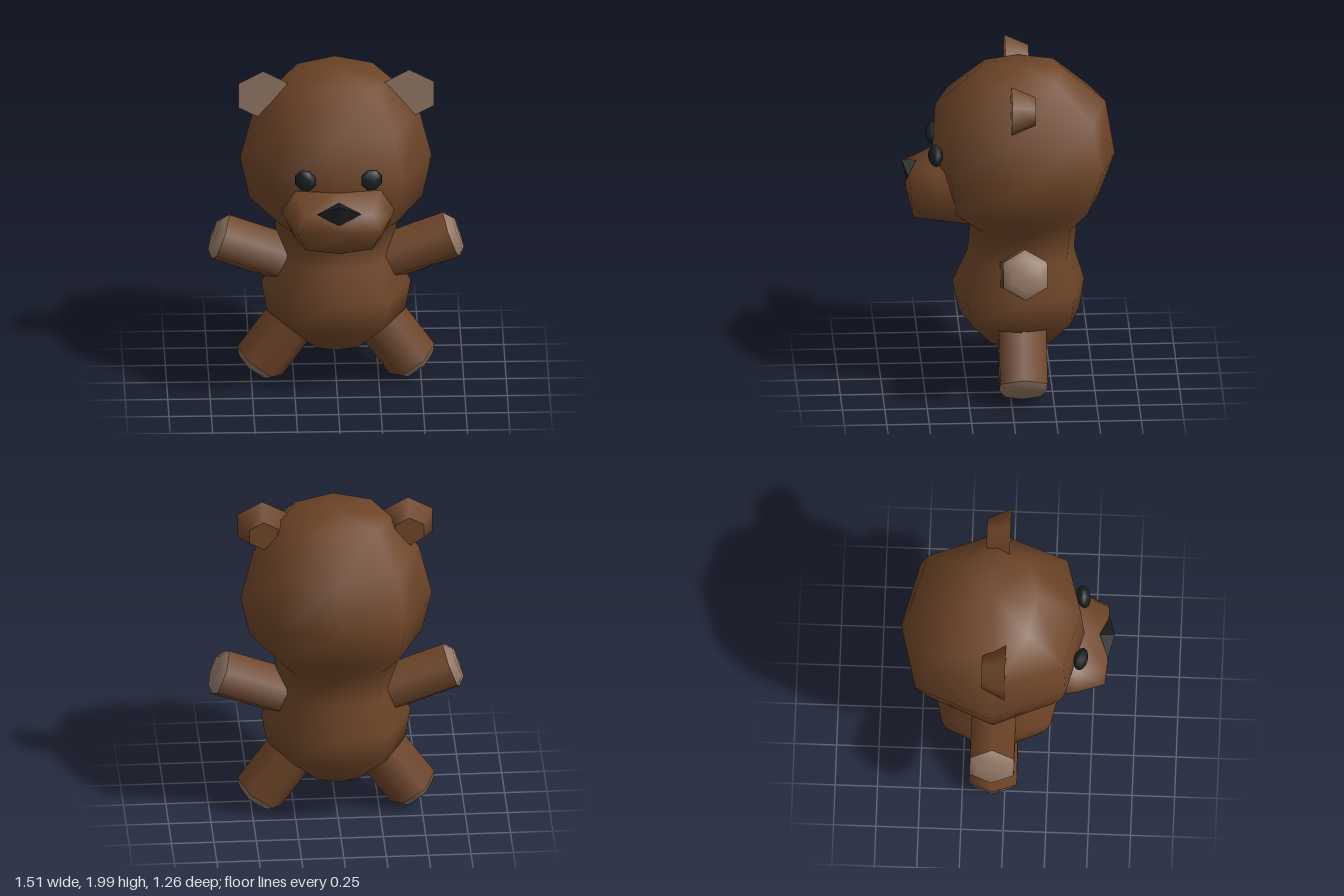
import * as THREE from 'three';
import { mergeVertices } from 'three/addons/utils/BufferGeometryUtils.js';
import { ConvexGeometry } from 'three/addons/geometries/ConvexGeometry.js';

const brown = new THREE.MeshStandardMaterial({ color: 0x6e4528 });
const tan = new THREE.MeshStandardMaterial({ color: 0x937866 });
const black = new THREE.MeshStandardMaterial({ color: 0x1c1f21 });
const black2 = new THREE.MeshStandardMaterial({ color: 0x1c1f21, flatShading: true });
const CZ = -0.07;

function add(parent, name, geometry, material) {
  const mesh = new THREE.Mesh(geometry, material);
  mesh.name = name;
  parent.add(mesh);
  return mesh;
}

// Smooth skin over rings with equal point counts
function loft(rings) {
  const n = rings[0].length, pos = rings.flat(2), index = [];
  for (let i = 0; i < rings.length - 1; i++) {
    for (let j = 0; j < n; j++) {
      const a = i * n + j, b = i * n + (j + 1) % n;
      index.push(a, a + n, b, b, a + n, b + n);
    }
  }
  let g = new THREE.BufferGeometry();
  g.setAttribute('position', new THREE.Float32BufferAttribute(pos, 3));
  g.setIndex(index);
  g = mergeVertices(g, 1e-4);
  g.computeVertexNormals();
  return g;
}

// Eight corners, with the diagonal ones pushed out by kx, ky
function octagon(kx, ky) {
  return [[1, 0], [kx, ky], [0, 1], [-kx, ky], [-1, 0], [-kx, -ky], [0, -1], [kx, -ky]];
}

// Body rings: height, half width, back z, front z
function bodyGeometry(rows) {
  return loft(rows.map(([y, rx, back, front, drop = 0]) =>
    octagon(0.68, 0.82).map(([u, v]) => [
      u * rx, y - drop * Math.abs(u), (front + back) / 2 + v * (front - back) / 2,
    ])));
}

// Six-sided limb along +y with a domed pad on its end
function limb(name, radius, length, padRadius) {
  const group = new THREE.Group();
  group.name = name;
  const tube = new THREE.CylinderGeometry(radius, radius, length, 6, 1, true);
  tube.rotateY(Math.PI / 2).translate(0, -length / 2, 0);
  add(group, 'limbTube', tube, brown);
  const profile = [[radius, 0], [padRadius, 0.042], [0, 0.045]]
    .map(([x, y]) => new THREE.Vector2(x, y));
  add(group, 'pad', new THREE.LatheGeometry(profile, 6, Math.PI / 2), tan);
  return group;
}

export function createModel() {
  const model = new THREE.Group();
  model.name = 'toyBear';

  // Torso and head share one skin
  add(model, 'torsoAndHead', bodyGeometry([
    [0.24, 0, CZ, CZ],
    [0.265, 0.18, -0.28, 0.14],
    [0.44, 0.41, -0.42, 0.29],
    [0.62, 0.44, -0.45, 0.33],
    [0.82, 0.35, -0.39, 0.24],
    [1.02, 0.36, -0.41, 0.22],
    [1.16, 0.51, -0.54, 0.4],
    [1.41, 0.565, -0.63, 0.45],
    [1.74, 0.49, -0.575, 0.43, 0.03],
    [1.955, 0.325, -0.32, 0.17, 0.04],
    [1.97, 0, -0.08, -0.08],
  ]), brown);

  // Muzzle rings: z, half width, bottom y, top y, forward lean
  const muzzleRows = [
    [0.2, 0.36, 1.03, 1.5, 0],
    [0.42, 0.315, 1.06, 1.42, 0],
    [0.58, 0.25, 1.07, 1.35, 0.012],
    [0.605, 0, 1.22, 1.22, 0],
  ];
  add(model, 'muzzle', loft(muzzleRows.map(([z, rx, lo, hi, lean]) =>
    octagon(0.78, 0.8).map(([u, v]) =>
      [u * rx, (hi + lo) / 2 - v * (hi - lo) / 2, z - v * lean]))), brown);

  // Faceted nose
  const nose = [[0, 1.385, 0.54], [0, 1.395, 0.63], [0.13, 1.335, 0.595],
    [-0.13, 1.335, 0.595], [0, 1.26, 0.6]].map(p => new THREE.Vector3(...p));
  add(model, 'nose', new ConvexGeometry(nose), black2);

  for (const [side, s] of [['left', 1], ['right', -1]]) {
    // Eye
    const eye = add(model, side + 'Eye', new THREE.SphereGeometry(0.068, 8, 6), black);
    eye.geometry.rotateX(Math.PI / 2).rotateZ(Math.PI / 8);
    eye.scale.z = 0.6;
    eye.position.set(s * 0.195, 1.485, 0.437);
    eye.rotation.y = s * 0.25;

    // Ear: tapered back and flat inner face
    const ear = new THREE.Group();
    ear.name = side + 'Ear';
    ear.position.set(s * 0.43, 1.845, 0);
    const shell = new THREE.CylinderGeometry(0.155, 0.09, 0.14, 6, 1, true);
    shell.rotateX(Math.PI / 2).translate(0, 0, -0.07);
    add(ear, 'earShell', shell, brown);
    const back = new THREE.CircleGeometry(0.09, 6, Math.PI / 2);
    add(ear, 'earBack', back.rotateY(Math.PI).translate(0, 0, -0.14), brown);
    add(ear, 'innerEar', new THREE.CircleGeometry(0.155, 6, Math.PI / 2), tan);
    ear.scale.x = 1.08;
    model.add(ear);

    // Arm and leg, placed by the rim of the pad
    const arm = limb(side + 'Arm', 0.15, 0.45, 0.1);
    arm.position.set(s * 0.68, 0.91, CZ);
    arm.rotation.z = -s * 1.22;
    const leg = limb(side + 'Leg', 0.162, 0.4, 0.122);
    leg.position.set(s * 0.448, 0.112, CZ);
    leg.rotation.z = -s * 2.53;
    model.add(arm, leg);
  }
  return model;
}
